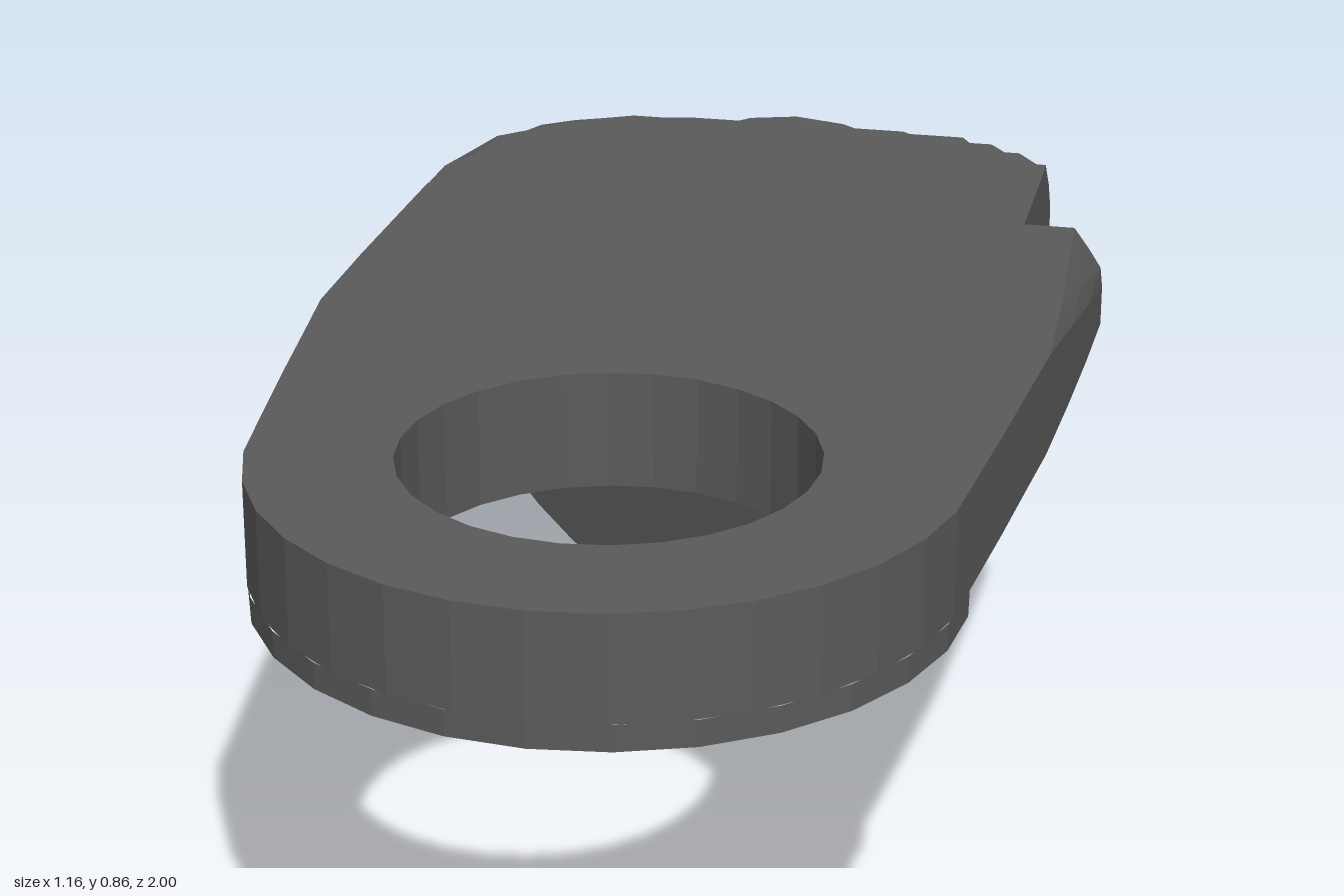
import * as THREE from 'three';

const TOP = 0.865, UNDER = 0.705, CY = 0.45, HOLE_Z = 0.49;

// Radius of the turned envelope around the rear axis, as [z, radius]
const ENVELOPE = [[-0.945, 0.465], [-0.935, 0.51], [-0.91, 0.55], [-0.875, 0.585], [-0.83, 0.61],
  [-0.79, 0.63], [-0.72, 0.652], [-0.63, 0.668], [-0.48, 0.676]];

export function createModel() {
  const group = new THREE.Group();
  const darkGrey = new THREE.MeshStandardMaterial({ color: 0x5a5a5a });
  darkGrey.name = 'darkGrey';
  darkGrey.flatShading = true;

  const add = (name, geometry) => {
    const mesh = new THREE.Mesh(geometry, darkGrey);
    mesh.name = name;
    group.add(mesh);
    return mesh;
  };
  const lathe = (pts, segments) =>
    new THREE.LatheGeometry(pts.map(([r, y]) => new THREE.Vector2(r, y)), segments);

  add('mountingPlate', plateGeometry());
  add('rearBlock', blockGeometry());

  // Raised ring under the hole, with a thin lip
  const ring = add('holeRing', lathe(
    [[0.51, 0], [0.51, 0.04], [0.48, 0.04], [0.48, 0.02], [0.3, 0.02], [0.3, 0]], 28));
  ring.rotation.x = Math.PI;
  ring.position.set(0, UNDER, HOLE_Z);

  // Round rear pad with a thin lip
  const pad = add('rearPad', lathe(
    [[0.41, 0], [0.41, 0.055], [0.385, 0.055], [0.385, 0.04], [0, 0.04]], 32));
  pad.rotation.x = -Math.PI / 2;
  pad.position.set(0, CY, -0.945);

  return group;
}

// Flat plate with a round nose and a hole; its upper rear edges are shaved off
function plateGeometry() {
  const side = [[0.502, 0.58], [0.53, 0.3], [0.546, 0.12], [0.557, 0], [0.567, -0.2], [0.574, -0.38], [0.578, -0.54]];
  const shape = new THREE.Shape();
  side.slice().reverse().forEach(([x, z], i) => (i ? shape.lineTo(-x, -z) : shape.moveTo(-x, -z)));
  const start = Math.PI - 0.18;
  for (let i = 1; i < 14; i++) {
    const a = start + (i / 14) * (2 * Math.PI - 0.18 * -1 - start + 0) ;
    shape.lineTo(0.51 * Math.cos(a + 0.36 * (1 - i / 14) - 0.36 * (i / 14)),
      -HOLE_Z + 0.51 * Math.sin(a + 0.36 * (1 - i / 14) - 0.36 * (i / 14)));
  }
  side.forEach(([x, z]) => shape.lineTo(x, -z));
  shape.closePath();

  const hole = new THREE.Path();
  for (let i = 0; i <= 28; i++) {
    const a = (-i / 28) * Math.PI * 2 - Math.PI / 2;
    const x = 0.3 * Math.cos(a), y = -HOLE_Z + 0.3 * Math.sin(a);
    if (i) hole.lineTo(x, y); else hole.moveTo(x, y);
  }
  shape.holes.push(hole);

  const geo = new THREE.ExtrudeGeometry(shape, { depth: TOP - UNDER, steps: 5, bevelEnabled: false });
  geo.rotateX(-Math.PI / 2).translate(0, UNDER, 0);
  const pos = geo.attributes.position;
  for (let i = 0; i < pos.count; i++) {
    const z = pos.getZ(i), r = 0.673 + (z + 0.54) * 0.045;
    if (z > 0.1) continue;
    const limit = Math.sqrt(r * r - (pos.getY(i) - CY) ** 2);
    pos.setX(i, THREE.MathUtils.clamp(pos.getX(i), -limit, limit));
  }
  geo.computeVertexNormals();
  return geo;
}

// Rear block: one outline trimmed by the turned envelope, with a sloping front
function blockGeometry() {
  const outline = [];
  const edge = (x0, y0, x1, y1, n) => {
    for (let i = 0; i < n; i++) outline.push([x0 + (x1 - x0) * i / n, y0 + (y1 - y0) * i / n]);
  };
  const a0 = THREE.MathUtils.degToRad(209.2), tx = 0.45 * Math.cos(a0), ty = CY + 0.45 * Math.sin(a0);
  edge(0.45, TOP, -0.58, TOP, 20);
  edge(-0.58, TOP, -0.58, 0.565, 8);
  edge(-0.58, 0.565, tx, ty, 6);
  for (let i = 0; i < 12; i++) {
    const a = a0 + (2 * Math.PI - a0) * i / 12;
    outline.push([0.45 * Math.cos(a), CY + 0.45 * Math.sin(a)]);
  }
  edge(0.45, CY, 0.45, TOP, 8);

  const frontZ = (y) => -0.78 + y * 0.24 / UNDER;
  const n = outline.length, verts = [], index = [];
  for (const [z, r] of ENVELOPE) {
    for (const [x, y] of outline) {
      const k = Math.min(1, r / Math.hypot(x, y - CY));
      const py = CY + (y - CY) * k;
      verts.push(x * k, py, Math.min(z, frontZ(py)));
    }
  }
  const back = verts.length / 3, front = back + 1, last = (ENVELOPE.length - 1) * n;
  verts.push(0, CY, ENVELOPE[0][0], 0, CY, frontZ(CY));
  for (let i = 0; i < n; i++) {
    const j = (i + 1) % n;
    for (let a = 0; a < last; a += n) index.push(a + i, a + j, a + n + j, a + i, a + n + j, a + n + i);
    index.push(back, j, i, front, last + i, last + j);
  }
  const geo = new THREE.BufferGeometry();
  geo.setAttribute('position', new THREE.Float32BufferAttribute(verts, 3));
  geo.setIndex(index);
  geo.computeVertexNormals();
  return geo;
}
